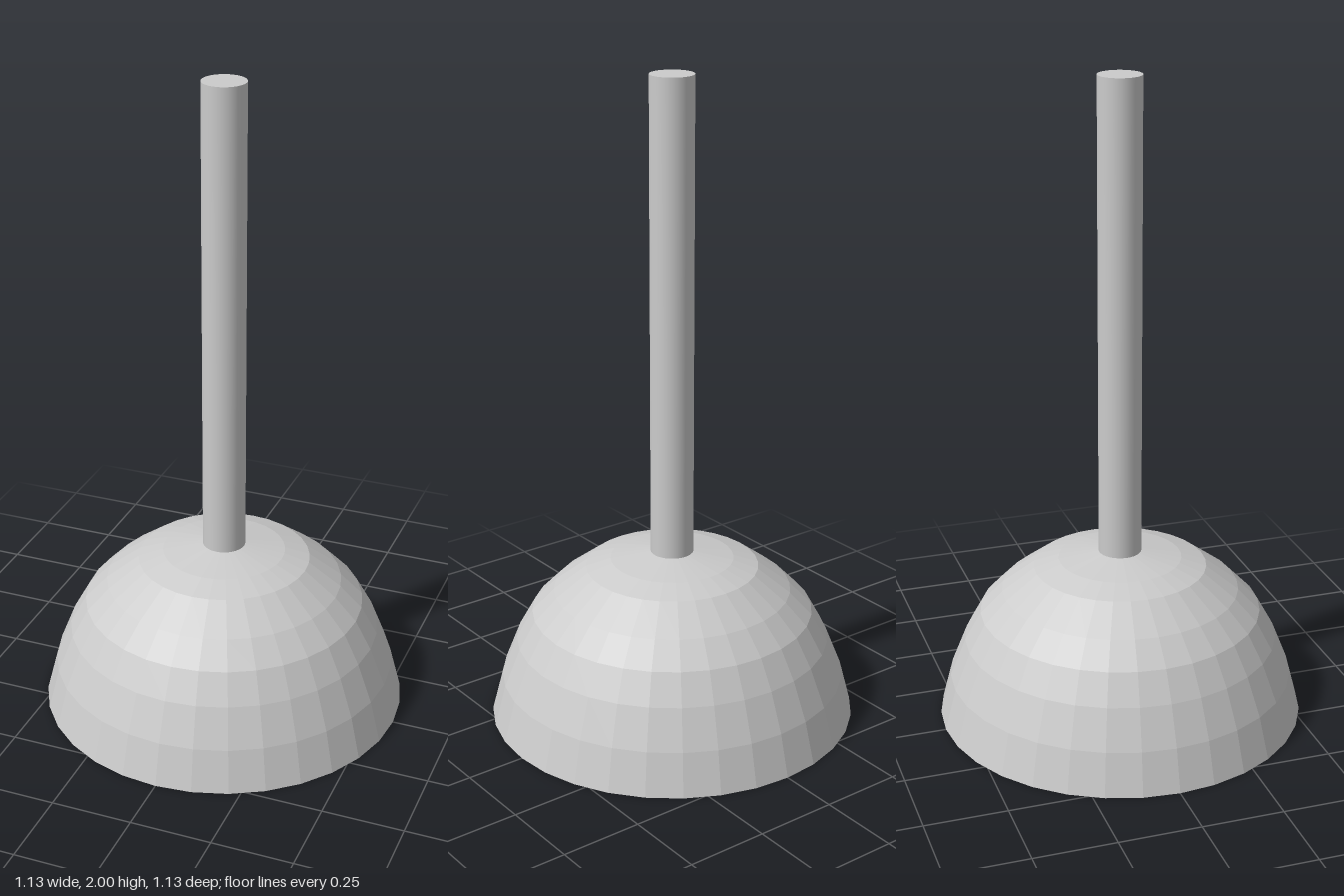
import * as THREE from 'three';
import { toCreasedNormals } from 'three/addons/utils/BufferGeometryUtils.js';

const SEGMENTS = 32;

// Revolves [radius, height] pairs, listed from bottom to top on outer faces
function revolve(points) {
  return new THREE.LatheGeometry(points.map(([r, y]) => new THREE.Vector2(r, y)), SEGMENTS);
}

export function createModel() {
  const group = new THREE.Group();
  const smooth = new THREE.MeshStandardMaterial({ color: 0xcccccc });
  const faceted = new THREE.MeshStandardMaterial({ color: 0xcccccc, flatShading: true });

  function add(name, geometry, material) {
    const mesh = new THREE.Mesh(geometry, material);
    mesh.name = name;
    group.add(mesh);
  }

  // Hollow cup: flat inner ceiling, down to the rim, then up the outside
  const inner = [[0, 0.36], [0.36, 0.36], [0.4, 0.31], [0.445, 0.235], [0.49, 0.125], [0.522, 0]];
  const outer = [[0.567, 0], [0.533, 0.13], [0.485, 0.25], [0.435, 0.34],
    [0.367, 0.41], [0.267, 0.485], [0.19, 0.51], [0.065, 0.532], [0, 0.532]];
  add('cup', revolve([...inner, ...outer]), faceted);

  // Handle
  const handle = new THREE.CylinderGeometry(0.066, 0.066, 1.49, SEGMENTS);
  handle.translate(0, 1.255, 0);
  add('handle', handle, smooth);

  // Rounded knob under the cup's ceiling
  const knob = revolve([[0, 0.14], [0.031, 0.14], [0.05, 0.165], [0.067, 0.2],
    [0.077, 0.24], [0.075, 0.285], [0.066, 0.33], [0.066, 0.4]]);
  add('knob', toCreasedNormals(knob, 0.7), smooth);

  return group;
}
